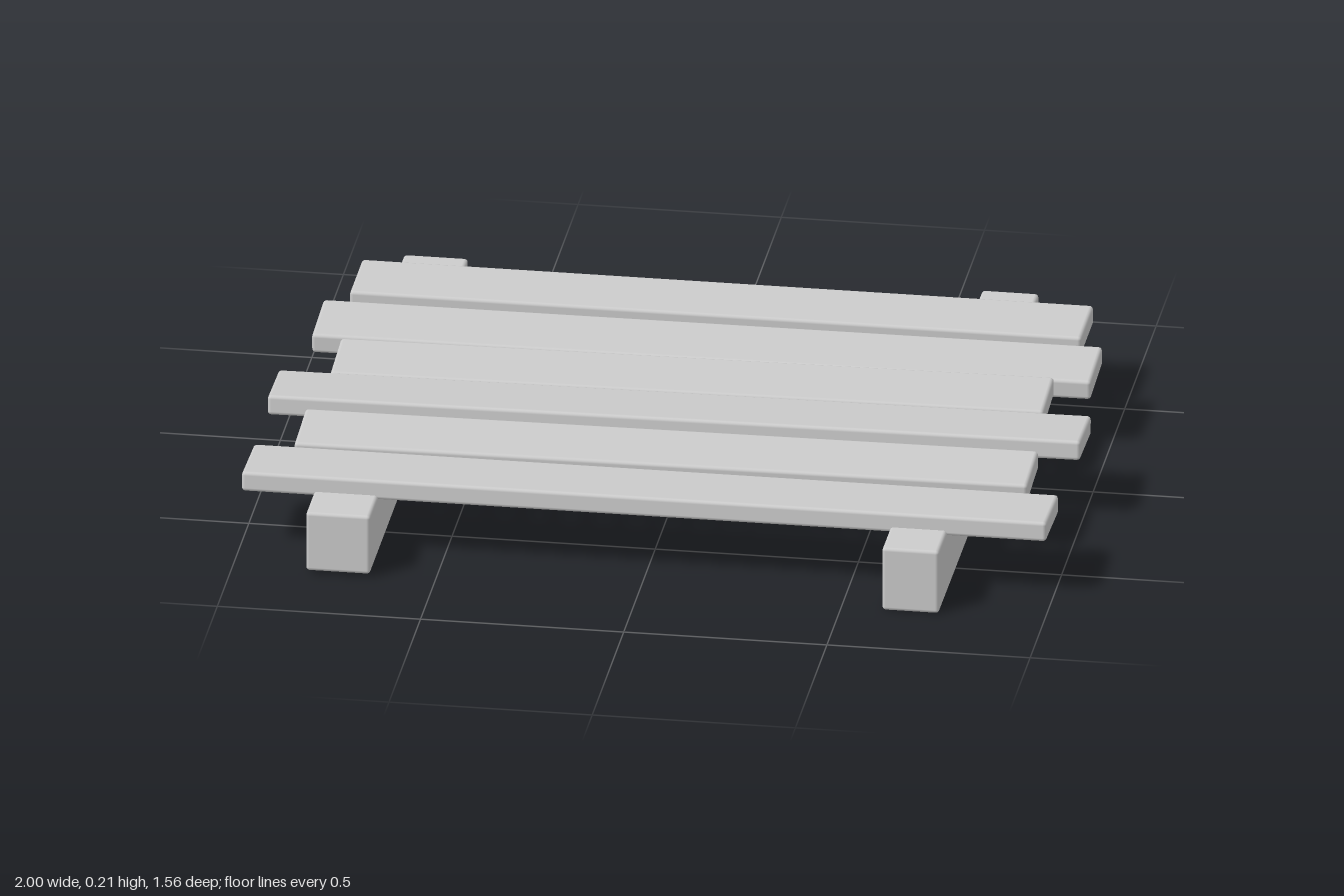
import * as THREE from 'three';
import { RoundedBoxGeometry } from 'three/addons/geometries/RoundedBoxGeometry.js';

const material = new THREE.MeshStandardMaterial({ color: 0xcccccc });

// Softly bevelled timber, placed by its centre
function timber(name, [w, h, d], [x, y, z], tilt = 0, yaw = 0) {
  const mesh = new THREE.Mesh(new RoundedBoxGeometry(w, h, d, 2, 0.009), material);
  mesh.name = name;
  mesh.position.set(x, y, z);
  mesh.rotation.set(tilt, yaw, 0, 'YXZ');
  return mesh;
}

export function createModel() {
  const group = new THREE.Group();
  group.name = 'plankPlatform';

  // Two bearers running front to back
  group.add(
    timber('rightBearer', [0.158, 0.155, 1.56], [-0.738, 0.088, -0.003]),
    timber('leftBearer', [0.14, 0.166, 1.56], [0.673, 0.085, -0.003], 0, -0.003),
  );

  // Uneven deck planks, back to front: length, x, y, z, tilt, yaw
  const planks = [
    [1.80, 0, 0.180, -0.553, 0, 0],
    [1.915, -0.002, 0.164, -0.336, 0.04, 0.006],
    [1.75, -0.005, 0.169, -0.118, 0.025, 0.02],
    [1.995, -0.002, 0.184, 0.105, -0.085, 0.016],
    [1.80, 0, 0.172, 0.323, 0.03, 0.013],
    [1.98, -0.005, 0.174, 0.551, -0.055, 0],
  ];
  planks.forEach(([length, x, y, z, tilt, yaw], i) => {
    group.add(timber(`plank${i + 1}`, [length, 0.05, 0.198], [x, y, z], tilt, yaw));
  });

  return group;
}
